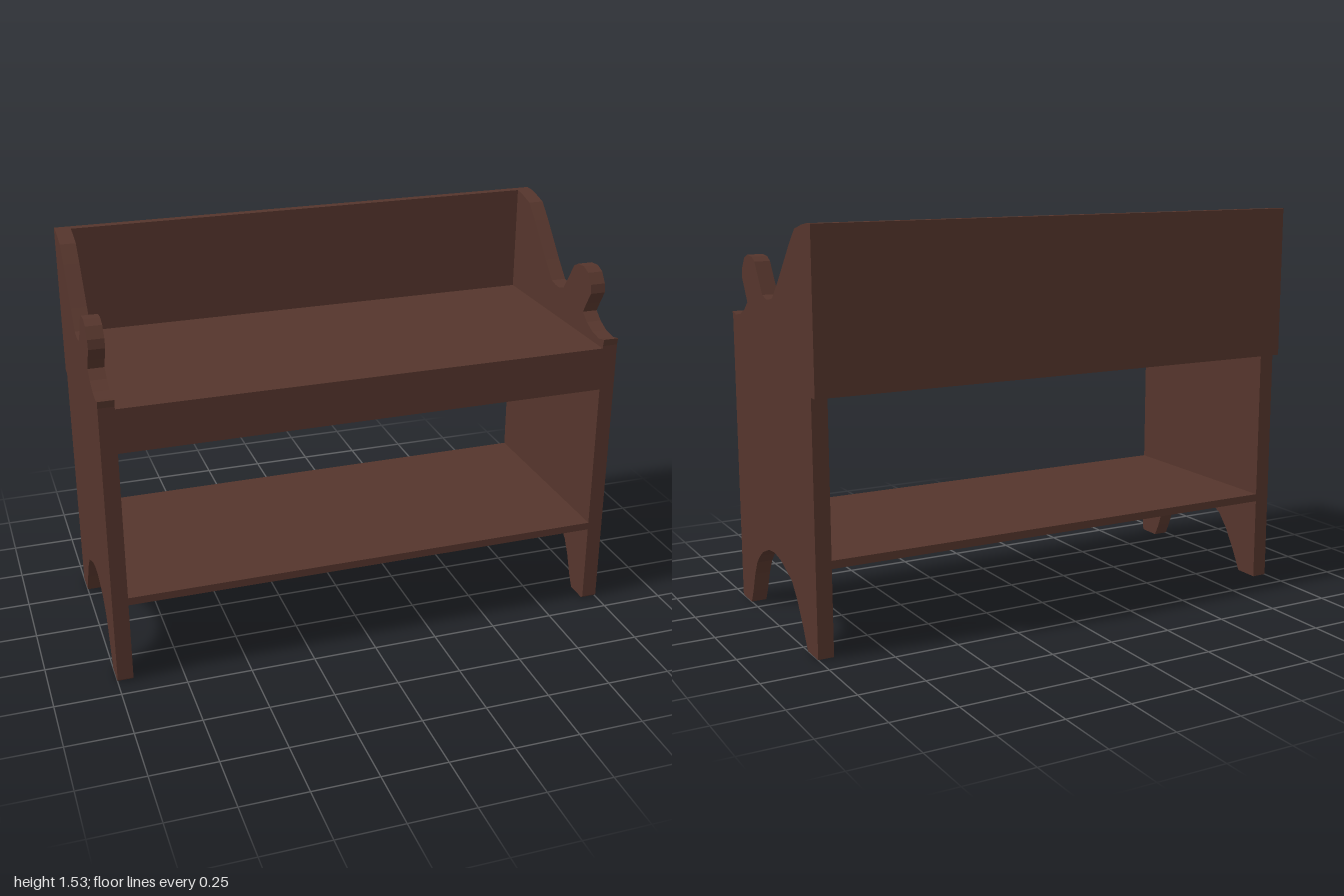
import * as THREE from 'three';

const wood = new THREE.MeshStandardMaterial({ color: 0x55352c });
wood.name = 'dark brown wood';

// Box given by its min and max corners
function board(name, [x0, y0, z0], [x1, y1, z1]) {
  const geometry = new THREE.BoxGeometry(x1 - x0, y1 - y0, z1 - z0);
  geometry.translate((x0 + x1) / 2, (y0 + y1) / 2, (z0 + z1) / 2);
  const mesh = new THREE.Mesh(geometry, wood);
  mesh.name = name;
  return mesh;
}

// Side panel outline as [z, y]
const arch = [
  [0.42, 0.01], [0.41, 0], [0.32, 0], [0.295, 0.05], [0.265, 0.13], [0.235, 0.185],
  [0.2, 0.22], [0.16, 0.247], [0.09, 0.275], [0.03, 0.28], [-0.04, 0.268],
  [-0.09, 0.247], [-0.15, 0.222], [-0.2, 0.165], [-0.25, 0.085], [-0.295, 0], [-0.395, 0],
];
const scrollTop = [
  [-0.395, 1.53], [-0.35, 1.523], [-0.28, 1.505], [-0.22, 1.445], [-0.1, 1.31],
  [-0.035, 1.243], [0, 1.235], [0.03, 1.233], [0.07, 1.245], [0.1, 1.29], [0.145, 1.36],
  [0.175, 1.376], [0.225, 1.38], [0.262, 1.365], [0.29, 1.325], [0.295, 1.29],
  [0.265, 1.24], [0.243, 1.2], [0.28, 1.17], [0.33, 1.147], [0.385, 1.138],
  [0.405, 1.143], [0.425, 1.147], [0.42, 1.12],
];

function sidePanel(name, x, thickness) {
  const outline = [...arch, ...scrollTop].map(([z, y]) => new THREE.Vector2(-z, y));
  const geometry = new THREE.ExtrudeGeometry(new THREE.Shape(outline), {
    depth: thickness, bevelEnabled: false,
  });
  geometry.rotateY(Math.PI / 2);
  const mesh = new THREE.Mesh(geometry, wood);
  mesh.position.x = x;
  mesh.name = name;
  return mesh;
}

export function createModel() {
  const bench = new THREE.Group();
  bench.name = 'bucket bench';
  bench.add(
    sidePanel('leftPanel', 0.94, 0.06),
    sidePanel('rightPanel', -1, 0.06),
    // Back board overlaps the rear edges of both panels
    board('backBoard', [-1, 0.94, -0.43], [1, 1.53, -0.395]),
    board('topShelf', [-0.94, 1.08, -0.395], [0.94, 1.11, 0.42]),
    board('frontApron', [-0.94, 0.94, 0.385], [0.94, 1.08, 0.42]),
    board('lowerShelf', [-0.94, 0.325, -0.395], [0.94, 0.355, 0.42]),
  );
  return bench;
}
